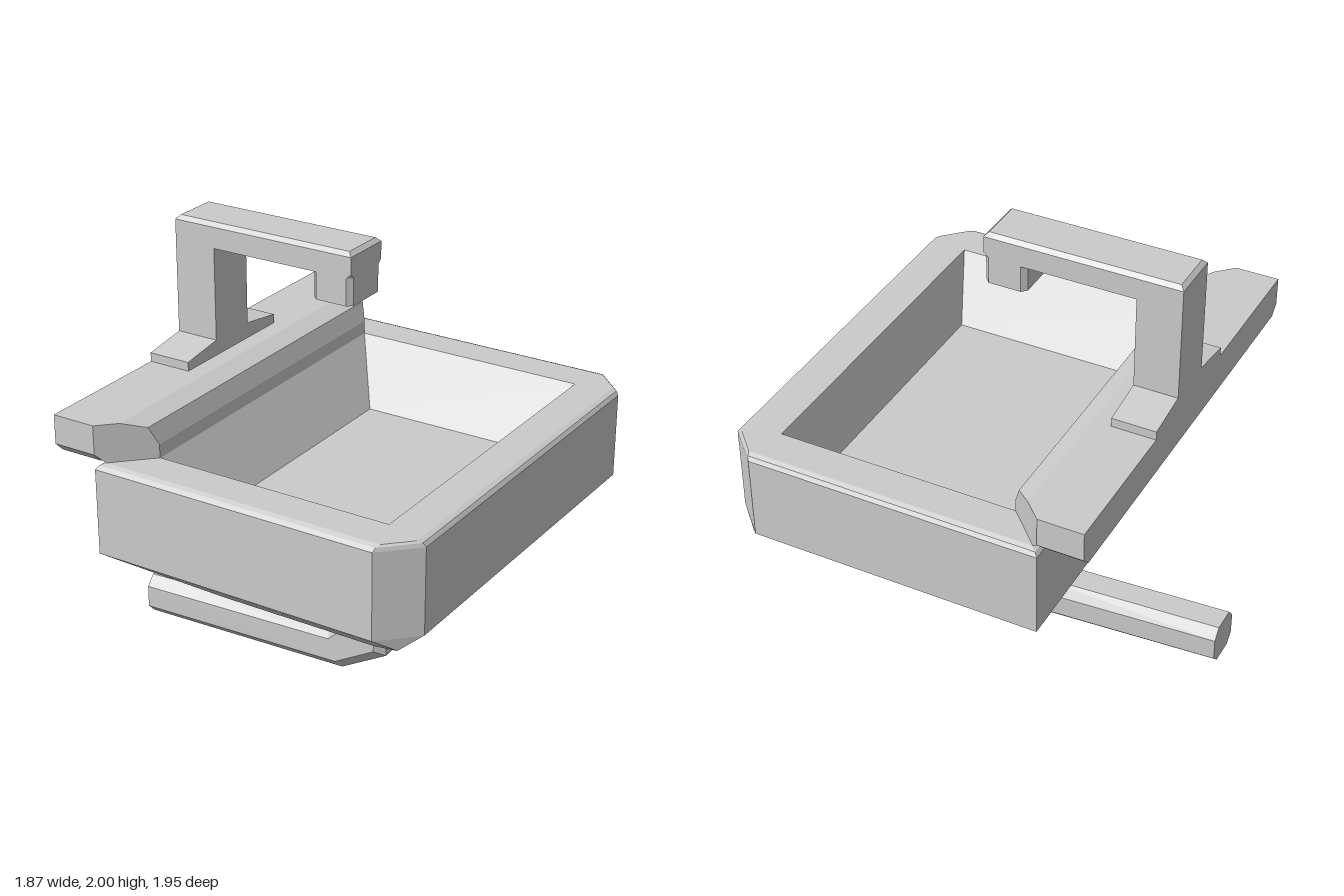
import * as THREE from 'three';

const material = new THREE.MeshStandardMaterial({ color: 0xcccccc, flatShading: true });

// Skin a list of equal-length rings of Vector3 and cap both ends.
function loft(rings) {
  const pos = [];
  const tri = (a, b, c) => {
    const area = b.clone().sub(a).cross(c.clone().sub(a)).length();
    if (area > 1e-7) for (const p of [a, b, c]) pos.push(p.x, p.y, p.z);
  };
  const n = rings[0].length;
  for (let r = 0; r < rings.length - 1; r++) {
    const a = rings[r], b = rings[r + 1];
    for (let i = 0; i < n; i++) {
      const j = (i + 1) % n;
      tri(a[i], a[j], b[j]);
      tri(a[i], b[j], b[i]);
    }
  }
  const first = rings[0], last = rings[rings.length - 1];
  for (let i = 1; i < n - 1; i++) {
    tri(first[0], first[i + 1], first[i]);
    tri(last[0], last[i], last[i + 1]);
  }
  const g = new THREE.BufferGeometry();
  g.setAttribute('position', new THREE.Float32BufferAttribute(pos, 3));
  g.computeVertexNormals();
  return g;
}

// Horizontal rectangle with corner chamfers: cf at the +x corners, cb at the -x corners.
function rectRing(y, x0, x1, z, cf = 0, cb = 0) {
  return [
    [x1 - cf, z], [x1, z - cf], [x1, cf - z], [x1 - cf, -z],
    [x0 + cb, -z], [x0, cb - z], [x0, z - cb], [x0 + cb, z],
  ].map(([x, zz]) => new THREE.Vector3(x, y, zz));
}

// Extrude a mirrored (z, y) half outline along x.
function slabX(half, x0, x1) {
  const pts = [...half, ...[...half].reverse().map(([z, y]) => [-z, y])];
  const shape = new THREE.Shape(pts.map(([z, y]) => new THREE.Vector2(z, y)));
  const g = new THREE.ExtrudeGeometry(shape, { depth: x1 - x0, bevelEnabled: false });
  return g.rotateY(Math.PI / 2).translate(x0, 0, 0);
}

// Octagonal pipe section: centre c, outward half-width u, inner flat position k.
function pipeRing(c, u, k) {
  return [[1, 0.058], [0.58, 0.098], [-k, 0.098], [-1, 0.058],
    [-1, -0.058], [-k, -0.098], [0.58, -0.098], [1, -0.058]].map(([a, b]) =>
    new THREE.Vector3(c[0] + a * u[0], c[1] + a * u[1], c[2] + b));
}

export function createModel() {
  const model = new THREE.Group();
  const add = (name, geometry, parent = model) => {
    const m = new THREE.Mesh(geometry, material);
    m.name = name;
    parent.add(m);
  };

  // Basin: tapered underside, chamfered front corners, two-step rounded rim, sloping bowl
  add('basin', loft([
    rectRing(0.55, -0.17, 0.573, 0.615),
    rectRing(0.76, -0.454, 0.85, 0.897),
    rectRing(0.82, -0.535, 0.93, 0.977, 0.148),
    rectRing(1.205, -0.535, 0.93, 0.977, 0.148),
    rectRing(1.222, -0.522, 0.918, 0.965, 0.13),
    rectRing(1.23, -0.5, 0.897, 0.945, 0.1),
    rectRing(1.23, -0.347, 0.74, 0.787),
    rectRing(0.96, -0.19, 0.65, 0.585),
  ]));

  // Raised ledge behind the bowl, its rounded nose cut diagonally at the ends
  const ledge = new THREE.Group();
  ledge.name = 'ledge';
  model.add(ledge);
  add('ledgeBack', slabX([[0.935, 1.228], [0.977, 1.27], [0.977, 1.4]], -0.735, -0.535), ledge);
  const nose = [[-0.5, 1.228], [-0.347, 1.228], [-0.347, 1.29], [-0.378, 1.37],
    [-0.458, 1.4], [-0.535, 1.4], [-0.535, 1.27]];
  add('ledgeNose', loft([-1, 1].map((s) =>
    nose.map(([x, y]) => new THREE.Vector3(x, y, s * (0.442 - x))))), ledge);

  // Faucet: winged base, post, bevelled arm and downturned spout
  const faucet = new THREE.Group();
  faucet.name = 'faucet';
  model.add(faucet);
  add('faucetBase', slabX([[0.325, 1.4], [0.325, 1.44], [0.118, 1.47]], -0.735, -0.537), faucet);
  add('faucetPost', loft([
    rectRing(1.4, -0.735, -0.537, 0.118),
    rectRing(1.887, -0.735, -0.537, 0.118),
  ]), faucet);
  add('faucetArm', loft([
    rectRing(1.887, -0.735, 0.145, 0.118, 0.022),
    rectRing(1.908, -0.735, 0.145, 0.118),
    rectRing(1.982, -0.735, 0.145, 0.118),
    rectRing(2.0, -0.717, 0.127, 0.1),
  ]), faucet);
  add('faucetSpout', loft([
    rectRing(1.766, -0.045, 0.145, 0.118, 0.022, 0.022),
    rectRing(1.887, -0.045, 0.145, 0.118, 0.022, 0.022),
  ]), faucet);

  // Drain pipe, mitred through the bend
  add('drainPipe', loft([
    pipeRing([0.199, 0.6, 0], [0.097, 0], 0.78),
    pipeRing([0.199, 0.195, 0], [0.097, -0.065], 0.78),
    pipeRing([0.035, 0.102, 0], [0.035, -0.102], 0.45),
    pipeRing([-0.937, 0.108, 0.06], [0, -0.096], 0.5),
  ]));

  return model;
}
